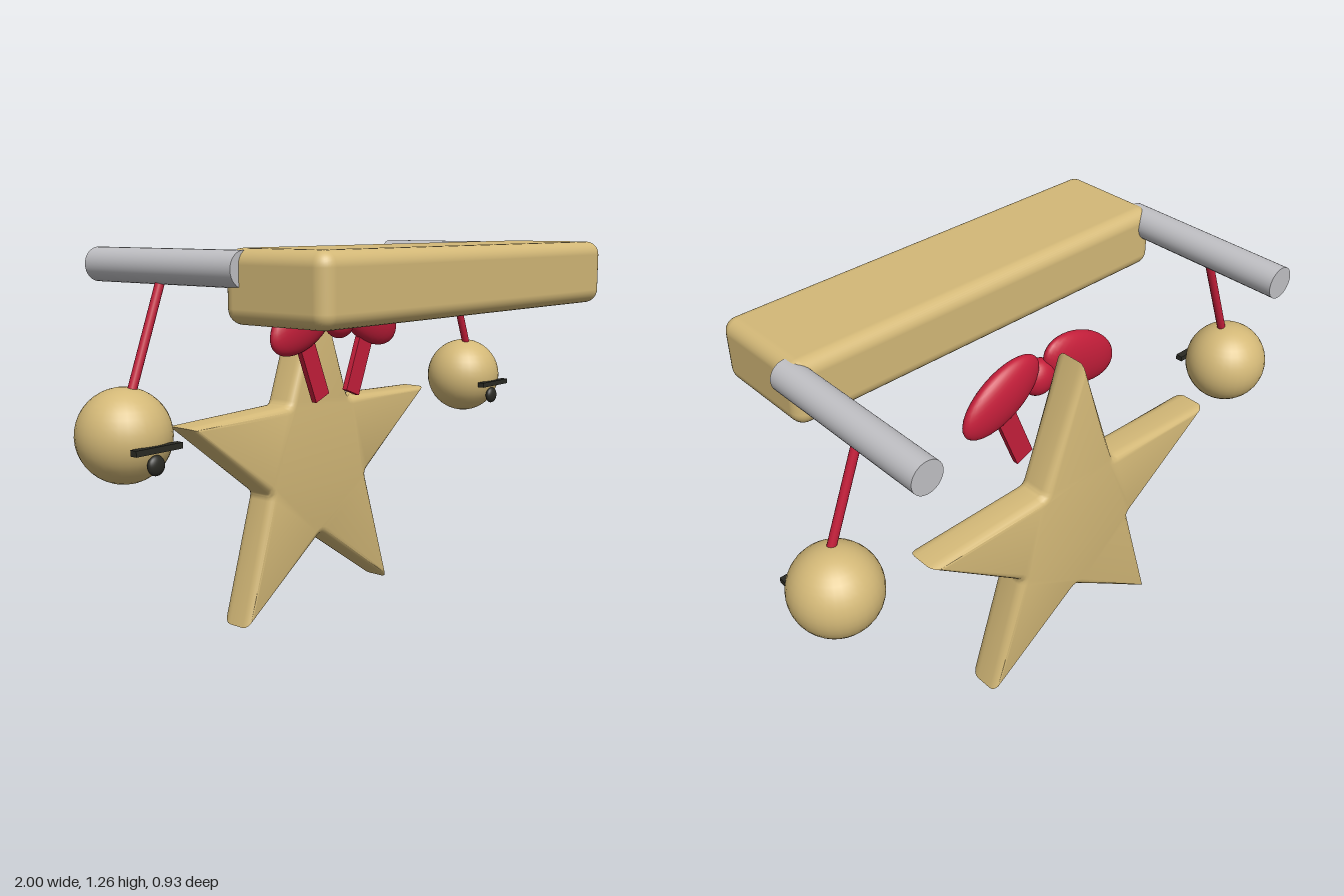
import * as THREE from 'three';
import { RoundedBoxGeometry } from 'three/addons/geometries/RoundedBoxGeometry.js';
import { toCreasedNormals } from 'three/addons/utils/BufferGeometryUtils.js';

const material = (name, color) => {
  const m = new THREE.MeshStandardMaterial({ color });
  m.name = name;
  return m;
};

// Five-pointed outline with slightly blunt tips and softened inner corners
function starShape(outer, inner) {
  const polar = (r, a) => new THREE.Vector2(Math.sin(a) * r, Math.cos(a) * r);
  const step = Math.PI / 5;
  const shape = new THREE.Shape();
  for (let i = 0; i < 5; i++) {
    const a = i * 2 * step;
    const tip = polar(outer, a);
    const notch = polar(inner, a + step);
    const next = polar(outer, a + 2 * step);
    if (i === 0) shape.moveTo(tip.x, tip.y);
    else shape.lineTo(tip.x, tip.y);
    const before = notch.clone().lerp(tip, 0.09);
    const after = notch.clone().lerp(next, 0.09);
    shape.lineTo(before.x, before.y);
    shape.quadraticCurveTo(notch.x, notch.y, after.x, after.y);
  }
  shape.closePath();
  return shape;
}

export function createModel() {
  const model = new THREE.Group();
  const tan = material('tan', 0xd4b978);
  const red = material('red', 0xc41e3a);
  const silver = material('silver', 0xc0c0c4);
  const dark = material('dark', 0x2a2a24);

  const add = (name, geometry, mat, x, y, z, parent = model) => {
    const mesh = new THREE.Mesh(geometry, mat);
    mesh.name = name;
    mesh.position.set(x, y, z);
    parent.add(mesh);
    return mesh;
  };

  // Thick front bar
  add('frontBar', new RoundedBoxGeometry(1.47, 0.21, 0.38, 4, 0.045), tan, 0, 1.155, 0.275);

  // Star with rounded edges
  const starGeometry = new THREE.ExtrudeGeometry(starShape(0.592, 0.224), {
    depth: 0.06, bevelEnabled: true, bevelThickness: 0.03,
    bevelSize: 0.028, bevelSegments: 4, curveSegments: 4,
  });
  add('star', toCreasedNormals(starGeometry, 0.7), tan, 0, 0.51, -0.29);

  // Bow
  const bow = new THREE.Group();
  bow.name = 'bow';
  model.add(bow);
  const ball = new THREE.SphereGeometry(1, 32, 20);
  add('bowKnot', ball, red, 0, 1.005, -0.118, bow).scale.set(0.062, 0.062, 0.046);

  for (const s of [1, -1]) {
    const side = s > 0 ? 'left' : 'right';

    // Bow loop and tail
    const loop = add(side + 'BowLoop', ball, red, s * 0.165, 1.012, -0.13, bow);
    loop.scale.set(0.165, 0.09, 0.042);
    loop.rotation.z = -s * 0.48;
    const tail = add(side + 'BowTail', new THREE.BoxGeometry(0.07, 0.23, 0.02), red,
      s * 0.121, 0.855, -0.135, bow);
    tail.rotation.z = -s * 0.38;

    // Rod running back from the bar
    add(side + 'Rod', new THREE.CylinderGeometry(0.052, 0.052, 0.62, 32), silver,
      s * 0.715, 1.203, -0.155).rotation.x = Math.PI / 2;

    // Cord from rod to ornament
    const cord = new THREE.LineCurve3(
      new THREE.Vector3(s * 0.715, 1.18, -0.178),
      new THREE.Vector3(s * 0.845, 0.845, -0.178));
    add(side + 'Cord', new THREE.TubeGeometry(cord, 1, 0.014, 16), red, 0, 0, 0);

    // Hanging ball with a dark bar and bead on its front
    const ornament = new THREE.Group();
    ornament.name = side + 'Ornament';
    ornament.position.set(s * 0.857, 0.725, -0.2);
    model.add(ornament);
    add('ornamentBall', ball, tan, 0, 0, 0, ornament).scale.setScalar(0.141);
    add('ornamentBar', new THREE.BoxGeometry(0.17, 0.018, 0.025), dark, 0, -0.022, 0.142, ornament);
    add('ornamentBead', ball, dark, 0, -0.07, 0.135, ornament).scale.set(0.03, 0.03, 0.016);
  }
  return model;
}
